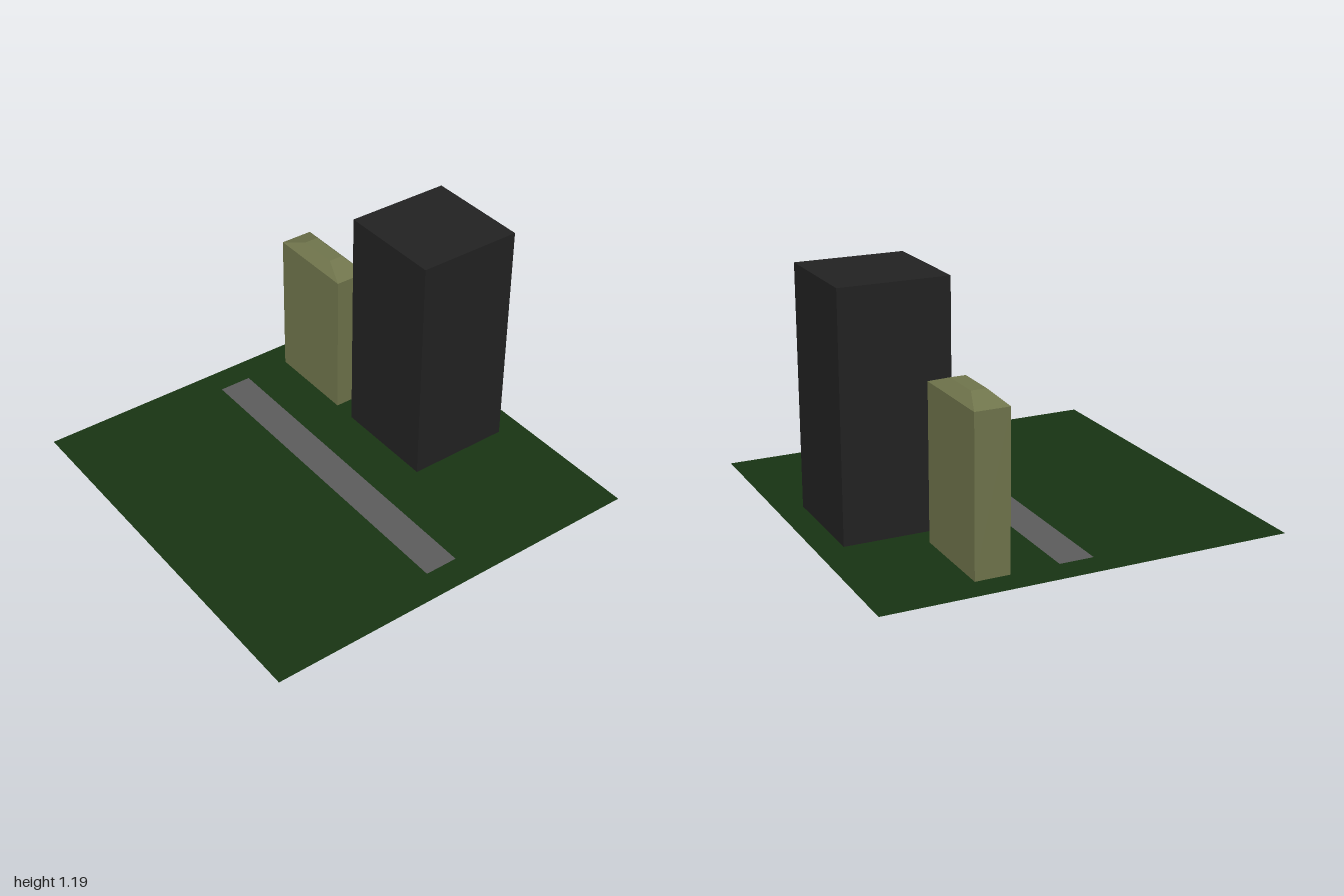
import * as THREE from 'three';

const paint = (color, side = THREE.FrontSide) =>
  new THREE.MeshStandardMaterial({ color, flatShading: true, side });

// Flat horizontal rectangle
function slab(name, width, depth, color) {
  const geometry = new THREE.PlaneGeometry(width, depth).rotateX(-Math.PI / 2);
  const mesh = new THREE.Mesh(geometry, paint(color, THREE.DoubleSide));
  mesh.name = name;
  return mesh;
}

// Block with a hipped top: walls up to the eaves, then tapering to a flat ridge
function hippedBlock(width, depth, eaves, height, ridgeWidth, ridgeDepth) {
  const box = new THREE.BoxGeometry(width, height, depth, 1, 2, 1);
  const p = box.attributes.position;
  for (let i = 0; i < p.count; i++) {
    const y = p.getY(i);
    if (y > 0.01) {
      p.setXYZ(i, Math.sign(p.getX(i)) * ridgeWidth / 2, height, Math.sign(p.getZ(i)) * ridgeDepth / 2);
    } else {
      p.setY(i, y < -0.01 ? 0 : eaves);
    }
  }
  const geometry = box.toNonIndexed();
  geometry.computeVertexNormals();
  return geometry;
}

export function createModel() {
  const model = new THREE.Group();
  model.name = 'cityBlock';

  // Lawn and the road crossing it
  const lawn = slab('lawn', 2, 2, 0x183413);
  const road = slab('road', 1.72, 0.17, 0x5c5c5c);
  road.position.set(0, 0.003, -0.008);

  // Tall dark tower
  const tower = new THREE.Mesh(new THREE.BoxGeometry(0.54, 1.19, 0.535), paint(0x222222));
  tower.name = 'tower';
  tower.position.set(0, 0.597, -0.603);

  // Smaller building with a shallow hipped roof
  const house = new THREE.Mesh(hippedBlock(0.475, 0.17, 0.76, 0.808, 0.21, 0.075), paint(0x70754c));
  house.name = 'hippedBuilding';
  house.position.set(-0.628, 0.002, -0.42);

  model.add(lawn, road, tower, house);
  return model;
}
